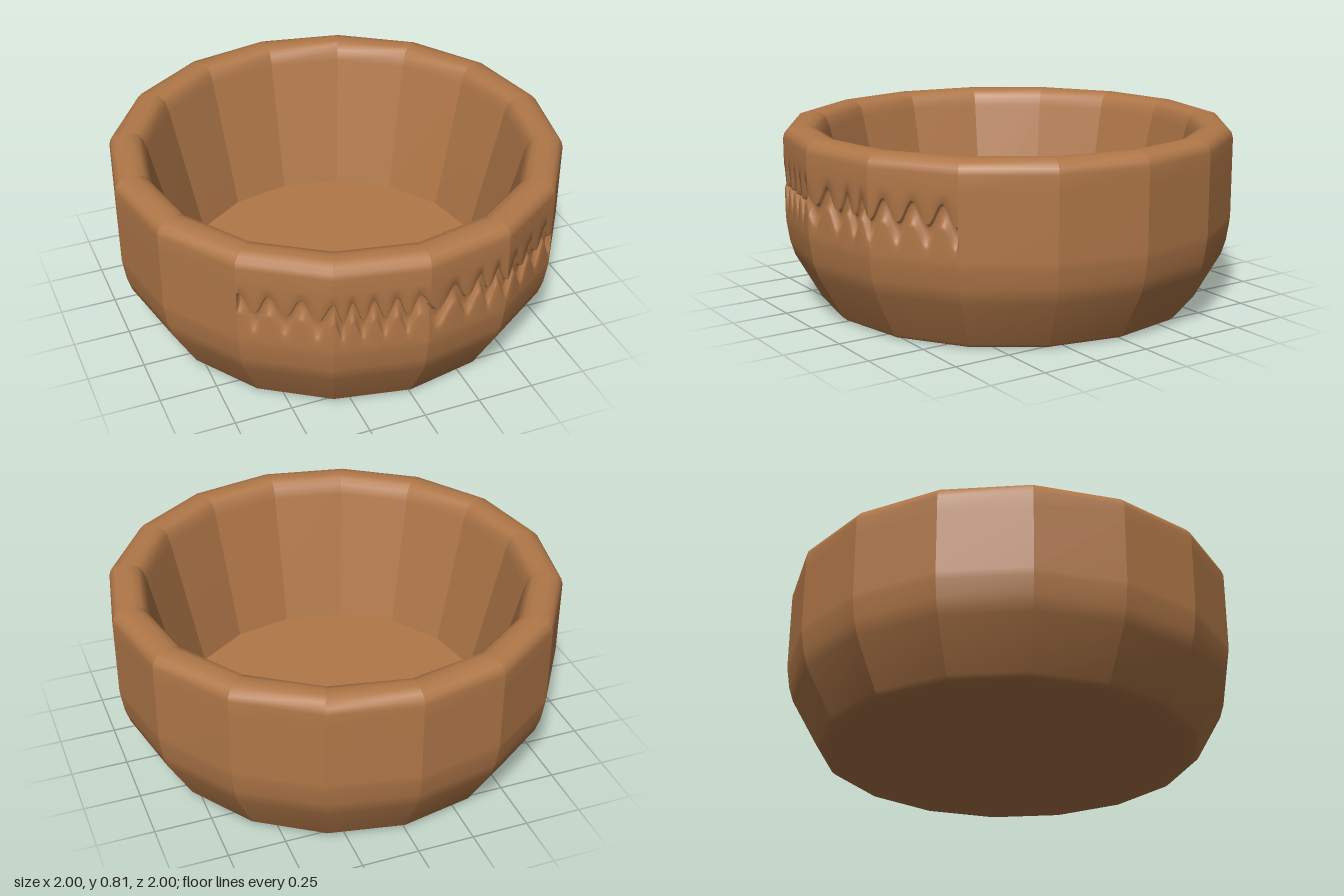
import * as THREE from 'three';
import { mergeGeometries } from 'three/addons/utils/BufferGeometryUtils.js';

const SIDES = 16;
const STEP = (Math.PI * 2) / SIDES;

// Wall section as [radius, height], from the foot up the outside, over the rim and down inside
const FOOT = [[0.8, 0], [0.83, 0.004], [0.85, 0.02], [0.965, 0.225], [0.985, 0.29], [0.997, 0.37], [1, 0.4]];
const RIM = [[1, 0.68], [1, 0.75], [0.993, 0.775], [0.975, 0.795], [0.94, 0.806], [0.9, 0.806], [0.87, 0.797],
  [0.85, 0.775], [0.835, 0.73], [0.69, 0.12]];
// Groove section as [height above its centre line, depth]
const GROOVE = [[-0.06, 0], [-0.045, 0.006], [-0.015, 0.022], [0.025, 0.024], [0.038, 0.016], [0.045, 0]];
// Crests of the hand-carved wavy groove, by x
const CRESTS = [-0.7, -0.6, -0.49, -0.38, -0.305, -0.22, -0.13, -0.04, 0.125, 0.25, 0.335, 0.435, 0.54, 0.65, 0.75];

function waveHeight(x) {
  let k = 0;
  while (k < CRESTS.length - 2 && x > CRESTS[k + 1]) k++;
  const t = (x - CRESTS[k]) / (CRESTS[k + 1] - CRESTS[k]);
  return 0.545 + 0.045 * Math.cos(t * Math.PI * 2);
}

// One flat side of the bowl, smooth from foot to rim; carved sides get the groove rows
function sideStrip(index, carved) {
  const a0 = index * STEP, a1 = a0 + STEP, mid = (a0 + a1) / 2;
  const cols = carved ? 72 : 1;
  const positions = [], indices = [];
  let rows = 0;
  for (let c = 0; c <= cols; c++) {
    const t = c / cols;
    const dx = THREE.MathUtils.lerp(Math.sin(a0), Math.sin(a1), t);
    const dz = THREE.MathUtils.lerp(Math.cos(a0), Math.cos(a1), t);
    const wave = waveHeight(dx);
    const open = Math.abs(dx) > 0.705 ? 0 : 1;
    const groove = carved ? GROOVE.map(([h, d]) => [1, wave + h, d * open]) : [];
    const section = [...FOOT, ...groove, ...RIM];
    rows = section.length;
    for (const [r, y, depth = 0] of section) {
      positions.push(dx * r - Math.sin(mid) * depth, y, dz * r - Math.cos(mid) * depth);
    }
  }
  for (let c = 0; c < cols; c++) {
    for (let r = 0; r < rows - 1; r++) {
      const a = c * rows + r, b = a + rows;
      indices.push(a, b, b + 1, a, b + 1, a + 1);
    }
  }
  const geometry = new THREE.BufferGeometry();
  geometry.setAttribute('position', new THREE.Float32BufferAttribute(positions, 3));
  geometry.setIndex(indices);
  geometry.computeVertexNormals();
  return geometry;
}

export function createModel() {
  const clay = new THREE.MeshStandardMaterial({ color: 0xb07748 });
  clay.name = 'brown clay';
  const model = new THREE.Group();
  model.name = 'bowl';
  const add = (name, geometry) => {
    const mesh = new THREE.Mesh(geometry, clay);
    mesh.name = name;
    model.add(mesh);
    return mesh;
  };

  // Plain sides, and the four front sides with the wavy groove
  const plain = [], carved = [];
  for (let i = -2; i < SIDES - 2; i++) {
    if (i < 2) carved.push(sideStrip(i, true));
    else plain.push(sideStrip(i, false));
  }
  add('plainWall', mergeGeometries(plain));
  add('carvedWall', mergeGeometries(carved));

  // Inner floor and underside
  const floor = add('floor', new THREE.CircleGeometry(0.69, SIDES).rotateX(-Math.PI / 2));
  floor.position.y = 0.12;
  add('underside', new THREE.CircleGeometry(0.8, SIDES).rotateX(Math.PI / 2));
  return model;
}
